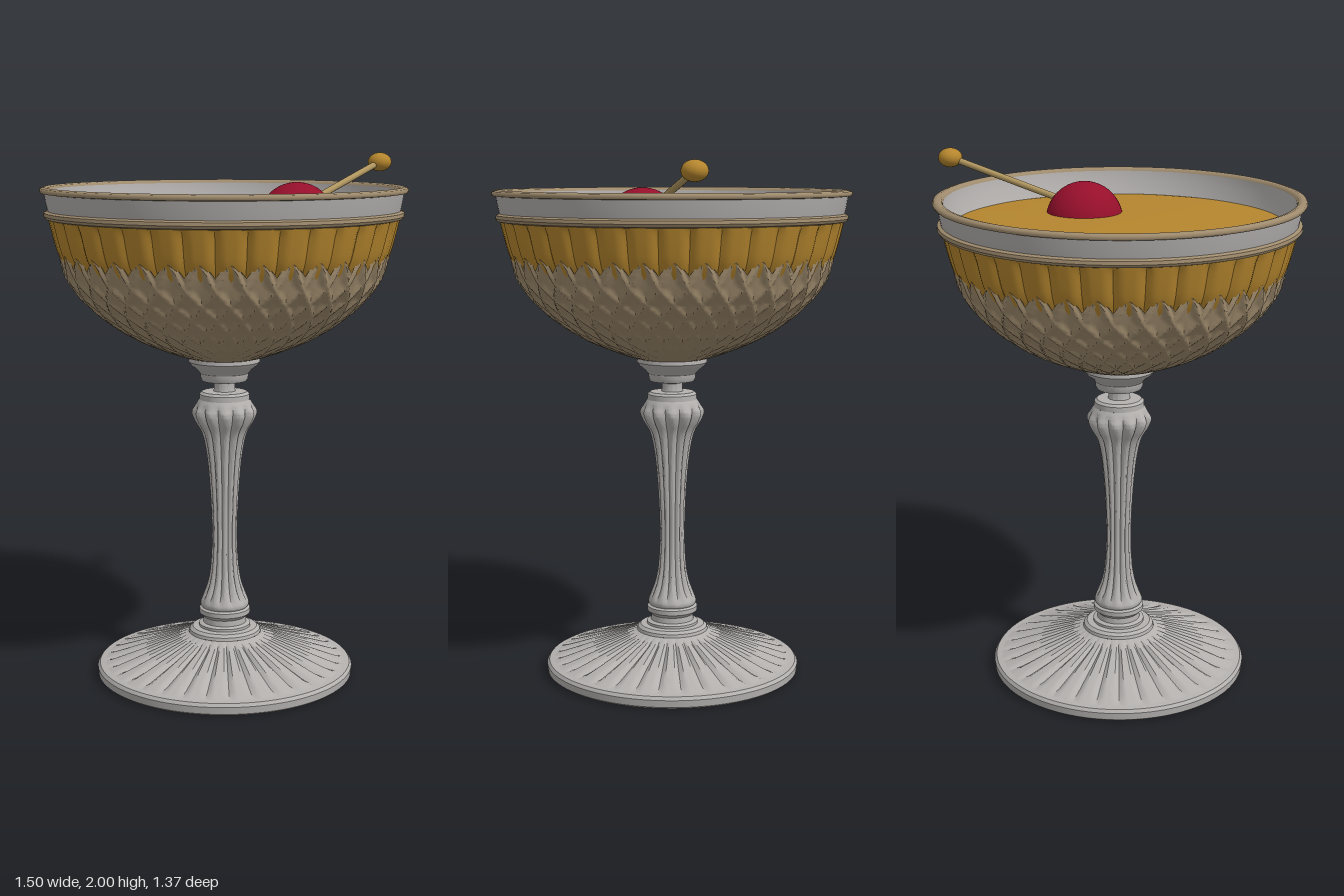
import * as THREE from 'three';
import { toCreasedNormals } from 'three/addons/utils/BufferGeometryUtils.js';

const CX = -0.068; // the glass axis; the pick reaches out to +x

const paint = (name, color) => {
  const m = new THREE.MeshStandardMaterial({ color });
  m.name = name;
  return m;
};

// 1 on the line where s is whole, falling to 0 within width w
const ridge = (s, w) => Math.max(0, 1 - Math.abs(s - Math.round(s)) / w);
const clamp01 = THREE.MathUtils.clamp;
const ramp = THREE.MathUtils.smoothstep;

export function createModel() {
  const glass = paint('clear glass', 0xb3b0ae);
  const tinted = paint('tinted cut glass', 0xa08c6e);
  const amber = paint('amber drink', 0xb5862e);
  const red = paint('cherry red', 0x960f2b);
  const wood = paint('pick wood', 0xb0965f);

  const group = new THREE.Group();
  const cup = new THREE.Group();
  cup.name = 'coupeGlass';
  cup.position.x = CX;
  group.add(cup);

  const add = (parent, name, geo, mat) => {
    const mesh = new THREE.Mesh(geo, mat);
    mesh.name = name;
    parent.add(mesh);
    return mesh;
  };

  // Revolved part; carve(u, r, y) returns the new [r, y], with u running 0..1 around
  const turned = (name, pts, mat, segs = 96, carve = null, crease = 0.6) => {
    const geo = new THREE.LatheGeometry(pts.map(p => (p.isVector2 ? p : new THREE.Vector2(...p))), segs);
    const pos = geo.attributes.position;
    const rows = pts.length;
    if (carve) {
      for (let i = 0; i < pos.count; i++) {
        const u = (Math.floor(i / rows) % segs) / segs;
        const p = pts[i % rows];
        const [r, y] = carve(u, p.isVector2 ? p.x : p[0], p.isVector2 ? p.y : p[1], (i % rows) / (rows - 1));
        const a = u * Math.PI * 2;
        pos.setXYZ(i, r * Math.sin(a), y, r * Math.cos(a));
      }
    }
    geo.deleteAttribute('uv');
    return add(cup, name, toCreasedNormals(geo, crease), mat);
  };
  const smooth = (pts, n) => new THREE.SplineCurve(pts.map(p => new THREE.Vector2(...p))).getPoints(n);

  // Foot: thick edge, radial cuts on top, shallow hollow below
  turned('footUnderside', [[0, 0.075], [0.045, 0.07], [0.07, 0.045], [0.2, 0.036], [0.45, 0.012],
    [0.47, 0.002], [0.485, 0], [0.495, 0.008]], glass, 128,
    (u, r, y) => [r, y + (r > 0.1 && r < 0.46 ? 0.006 * ridge(u * 32, 0.3) : 0)]);
  turned('footEdge', [[0.495, 0.008], [0.497, 0.035], [0.488, 0.047], [0.465, 0.05]], glass, 128);
  const footTop = [];
  for (let i = 0; i <= 12; i++) footTop.push([0.465 - 0.325 * i / 12, 0.05 + 0.113 * Math.pow(i / 12, 1.05)]);
  turned('footTop', footTop, glass, 256,
    (u, r, y, t) => [r, y - 0.012 * ridge(u * 32, 0.25) * ramp(t, 0, 0.15) * (1 - ramp(t, 0.8, 1))]);

  // Rings between foot and stem
  turned('stemRings', [[0.14, 0.163], [0.137, 0.175], [0.125, 0.185], [0.1, 0.187], [0.1, 0.197], [0.084, 0.203],
    [0.082, 0.225], [0.098, 0.24], [0.098, 0.258], [0.085, 0.266]], glass, 64);

  // Fluted stem, swelling into a shoulder below the neck
  const stem = smooth([[0.088, 0.264], [0.094, 0.28], [0.08, 0.32], [0.066, 0.36], [0.055, 0.42], [0.049, 0.52],
    [0.05, 0.62], [0.056, 0.74], [0.067, 0.86], [0.085, 0.95], [0.113, 1.0], [0.125, 1.035], [0.112, 1.06], [0.096, 1.085]], 56);
  turned('flutedStem', stem, glass, 144, (u, r, y) => {
    const depth = ramp(y, 0.27, 0.33) * (1 - ramp(y, 1.03, 1.08));
    return [r * (1 - 0.16 * depth * (1 - Math.abs(Math.sin(u * Math.PI * 12)))), y];
  });
  turned('neckCollar', [[0.096, 1.085], [0.095, 1.105], [0.085, 1.114], [0.042, 1.116], [0.04, 1.125], [0.04, 1.148],
    [0.05, 1.154], [0.085, 1.156], [0.09, 1.166], [0.092, 1.185], [0.105, 1.2], [0.125, 1.215], [0.136, 1.23],
    [0.134, 1.246], [0.11, 1.25]], glass, 64);

  // Lower bowl cut with diamonds, ending in a scalloped edge
  const N = 36;
  const bowl = smooth([[0.1, 1.237], [0.16, 1.25], [0.24, 1.28], [0.34, 1.327], [0.44, 1.392], [0.52, 1.463],
    [0.575, 1.535], [0.612, 1.625]], 64);
  turned('cutBowl', bowl, tinted, N * 8, (u, r, y, t) => {
    const v = 4.5 * t;
    const cut = Math.max(ridge(u * N + v, 0.28), ridge(u * N - v, 0.28));
    const fade = ramp(t, 0.08, 0.5);
    const peak = Math.abs(Math.sin(u * Math.PI * N)) - 0.5;
    return [r - 0.005 + 0.016 * cut * fade, y + 0.045 * peak * ramp(t, 0.85, 1)];
  }, 0.9);

  // Upper bowl: tall flutes with the drink showing through
  const band = smooth([[0.588, 1.585], [0.618, 1.64], [0.636, 1.7], [0.655, 1.78]], 10);
  turned('amberFlutes', band, amber, N * 8,
    (u, r, y, t) => [r - 0.016 * ridge(u * N, 0.22) * (1 - ramp(t, 0.85, 1)), y], 0.5);

  // Rim: tinted bead, clear band, tinted lip and clear inner wall
  turned('lowerBead', [[0.65, 1.768], [0.664, 1.772], [0.67, 1.782], [0.668, 1.794], [0.655, 1.8]], tinted, 128);
  turned('rimBand', [[0.655, 1.798], [0.661, 1.825], [0.668, 1.868]], glass, 128);
  turned('rimLip', [[0.666, 1.864], [0.68, 1.866], [0.684, 1.874], [0.68, 1.883], [0.665, 1.887],
    [0.65, 1.883], [0.645, 1.872]], tinted, 128, null, 1.2);
  turned('innerWall', [[0.645, 1.874], [0.638, 1.835], [0.612, 1.775]], glass, 128);

  // Drink surface with a slightly uneven edge
  turned('drinkSurface', [[0.622, 1.784], [0.6, 1.786], [0, 1.786]], amber, 96,
    (u, r, y) => [r > 0.61 ? r + 0.006 * Math.sin(u * 44) * Math.sin(u * Math.PI * 14) : r, y]);

  // Cherry half sunk in the drink
  const cherry = add(group, 'cherry', new THREE.SphereGeometry(0.148, 40, 28), red);
  cherry.position.set(0.147, 1.752, 0.172);

  // Cocktail pick with a flattened ball on the end
  const from = new THREE.Vector3(0.2, 1.815, 0.167);
  const to = new THREE.Vector3(0.7, 1.963, 0.137);
  add(group, 'pickStick', new THREE.TubeGeometry(new THREE.LineCurve3(from, to), 1, 0.0125, 16), wood);
  const ball = add(group, 'pickBall', new THREE.SphereGeometry(0.047, 28, 20), amber);
  ball.scale.set(1, 0.79, 1);
  ball.position.copy(to);

  return group;
}
